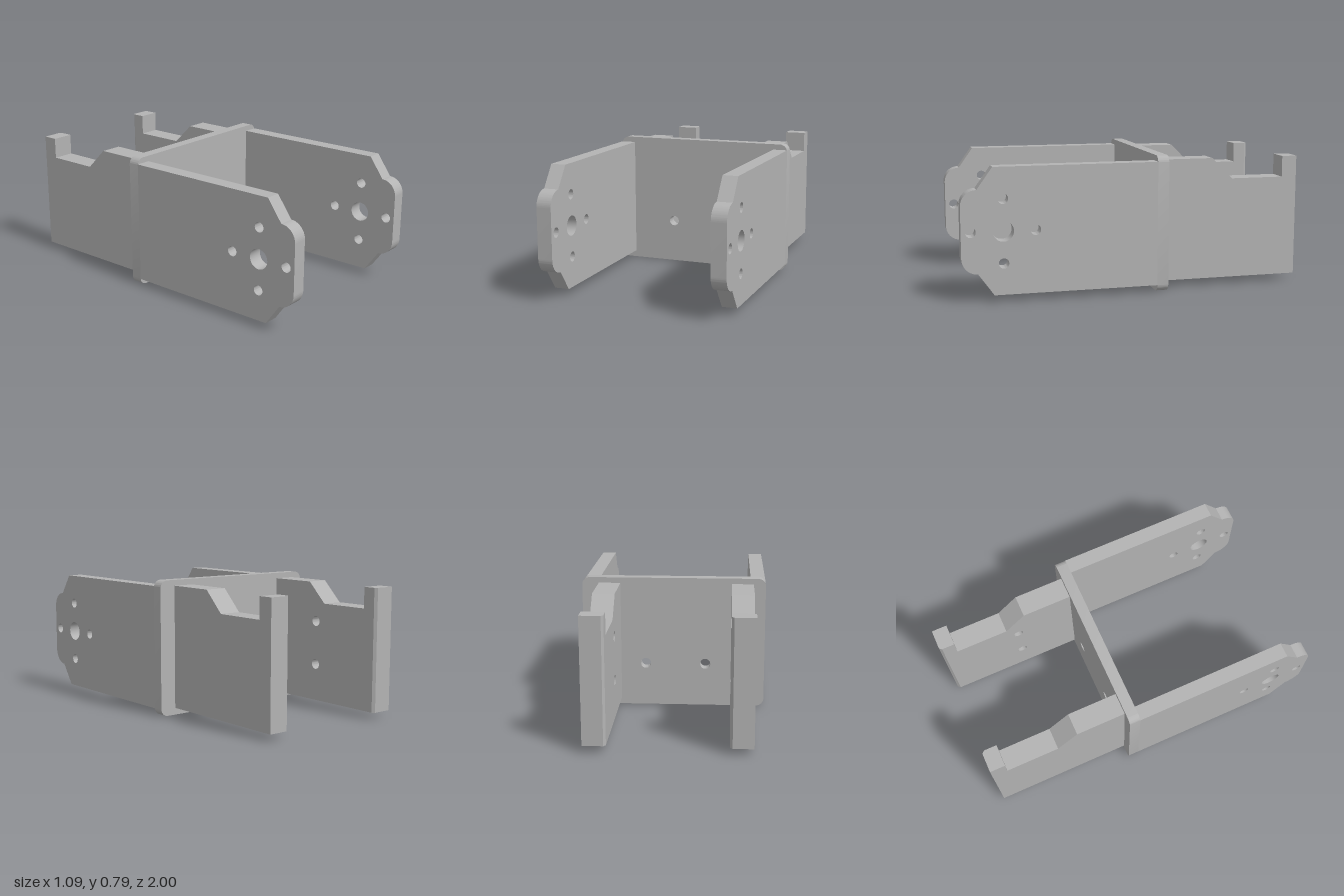
import * as THREE from 'three';
import { toCreasedNormals } from 'three/addons/utils/BufferGeometryUtils.js';

const grey = new THREE.MeshStandardMaterial({ color: 0xb3b3b3 });
grey.name = 'grey metal';

function addHole(shape, u, v, r) {
  const hole = new THREE.Path();
  hole.absarc(u, v, r, 0, Math.PI * 2, true);
  shape.holes.push(hole);
}

function extrude(shape, depth, steps = 1) {
  return new THREE.ExtrudeGeometry(shape, { depth, steps, bevelEnabled: false, curveSegments: 16 });
}

function addMesh(parent, geometry, name) {
  const mesh = new THREE.Mesh(toCreasedNormals(geometry, 0.6), grey);
  mesh.name = name;
  parent.add(mesh);
  return mesh;
}

// Turns a (z, y) profile extrusion so that it spans x from xMax - depth to xMax
function standOnSide(geometry, xMax) {
  return geometry.rotateY(-Math.PI / 2).translate(xMax, 0, 0);
}

// Upright plate with rounded corners and two holes
function crossPlate() {
  const w = 0.545, h = 0.786, r = 0.045, P = Math.PI;
  const s = new THREE.Shape();
  s.absarc(w - r, r, r, -P / 2, 0);
  s.absarc(w - r, h - r, r, 0, P / 2);
  s.absarc(-w + r, h - r, r, P / 2, P);
  s.absarc(-w + r, r, r, P, P * 1.5);
  s.closePath();
  addHole(s, -0.19, 0.26, 0.031);
  addHole(s, 0.168, 0.26, 0.031);
  return extrude(s, 0.065).translate(0, 0, -0.179);
}

// Forward arm with a shouldered round tip and a five-hole horn pattern
function frontArm(xMax) {
  const s = new THREE.Shape();
  s.moveTo(-0.114, 0.04);
  s.lineTo(0.822, 0.04);
  s.lineTo(0.91, 0.163);
  s.absarc(0.91, 0.253, 0.09, -Math.PI / 2, 0);
  s.absarc(0.91, 0.54, 0.09, 0, Math.PI / 2);
  s.lineTo(0.822, 0.753);
  s.lineTo(-0.114, 0.753);
  s.closePath();
  const z = 0.767, y = 0.397, d = 0.18;
  addHole(s, z, y, 0.058);
  for (const [a, b] of [[d, 0], [-d, 0], [0, d], [0, -d]]) addHole(s, z + a, y + b, 0.029);
  return standOnSide(extrude(s, 0.087), xMax);
}

// Rear arm with a notched top, blind holes and a small chamfer on the inner end edge
function rearArm(name, xMin, xMax, side) {
  const arm = new THREE.Group();
  arm.name = name;
  const s = new THREE.Shape([
    [-1, 0.04], [-0.178, 0.04], [-0.178, 0.753], [-0.473, 0.753],
    [-0.597, 0.63], [-0.91, 0.63], [-0.91, 0.753], [-1, 0.753],
  ].map(([z, y]) => new THREE.Vector2(z, y)));
  const holes = [0.26, 0.52];
  for (const y of holes) addHole(s, -0.53, y, 0.03);

  const inner = side > 0 ? xMin : xMax;
  const outer = side > 0 ? xMax : xMin;
  const g = standOnSide(extrude(s, xMax - xMin, 10), xMax);
  const p = g.attributes.position;
  for (let i = 0; i < p.count; i++) {
    if (Math.abs(p.getX(i) - inner) < 1e-4 && p.getZ(i) < -0.999) p.setZ(i, -0.985);
  }
  addMesh(arm, g, 'rearArmBody');

  // Plugs close the holes towards the outside
  const length = 0.04;
  for (const y of holes) {
    const plug = new THREE.CylinderGeometry(0.03, 0.03, length, 32).rotateZ(Math.PI / 2);
    plug.translate(outer - side * length / 2, y, -0.53);
    addMesh(arm, plug, 'holeFloor');
  }
  return arm;
}

export function createModel() {
  const model = new THREE.Group();
  model.name = 'bracket';
  addMesh(model, crossPlate(), 'crossPlate');
  addMesh(model, frontArm(0.545), 'leftFrontArm');
  addMesh(model, frontArm(-0.458), 'rightFrontArm');
  model.add(rearArm('leftRearArm', 0.317, 0.446, 1));
  model.add(rearArm('rightRearArm', -0.473, -0.344, -1));
  return model;
}
